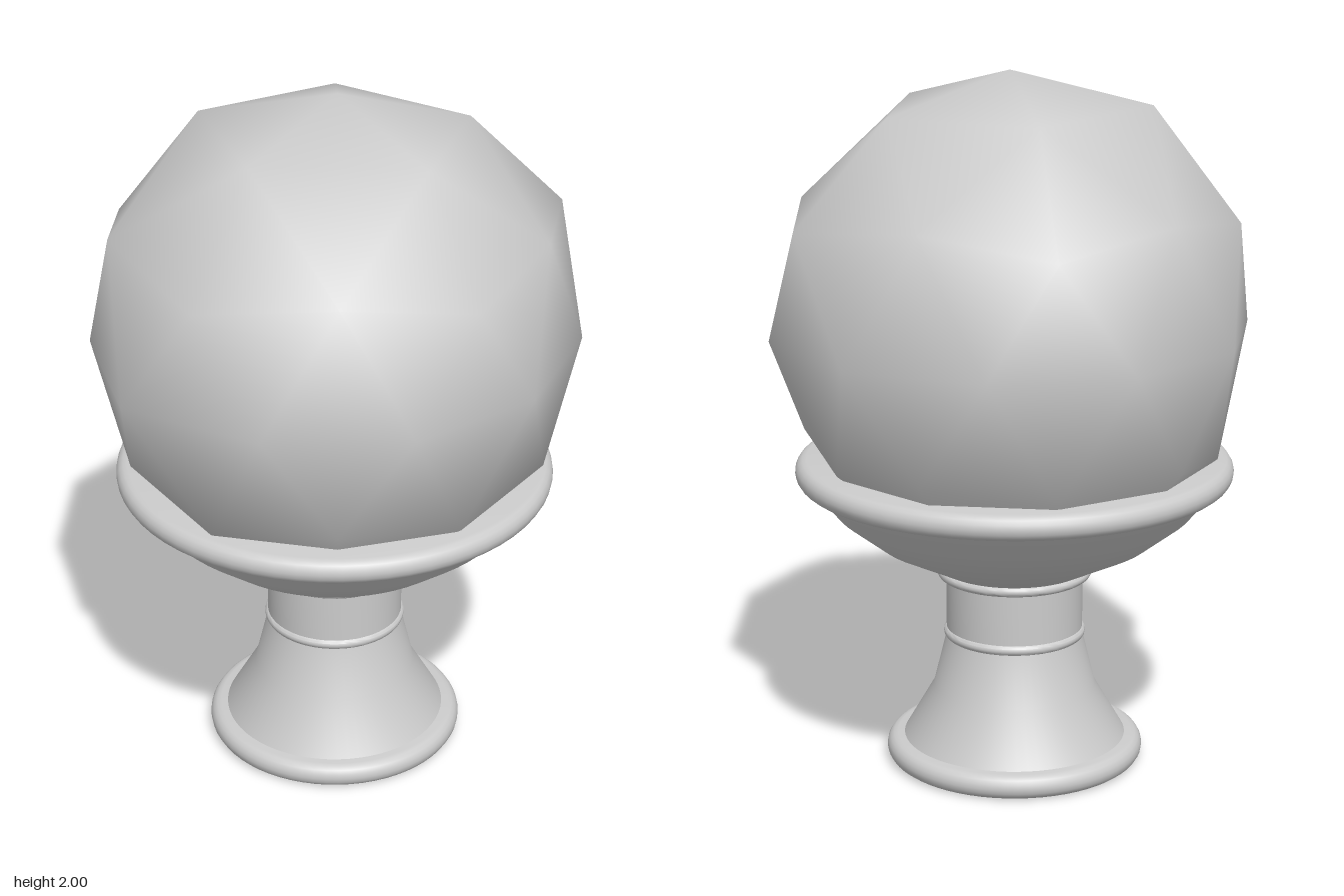
import * as THREE from 'three';
import { toCreasedNormals } from 'three/addons/utils/BufferGeometryUtils.js';

const material = new THREE.MeshStandardMaterial({ color: 0xcccccc });
const SIDES = 64;

// Turned part from [radius, height] points listed from bottom to top
function turned(name, profile, crease = 0.6) {
  const points = profile.map(([r, y]) => new THREE.Vector2(r, y));
  const mesh = new THREE.Mesh(toCreasedNormals(new THREE.LatheGeometry(points, SIDES), crease), material);
  mesh.name = name;
  return mesh;
}

// Solid disc with a half-round edge between heights y0 and y1
function roundedDisc(name, radius, y0, y1) {
  const h = (y1 - y0) / 2;
  const bulge = h * 0.9;
  const profile = [[0, y0]];
  for (let i = 0; i <= 8; i++) {
    const a = -Math.PI / 2 + (i / 8) * Math.PI;
    profile.push([radius - bulge + bulge * Math.cos(a), y0 + h + h * Math.sin(a)]);
  }
  profile.push([0, y1]);
  return turned(name, profile);
}

// Clipped bush: a coarse subdivided icosahedron with uneven radii
function bush() {
  const CENTER = 1.27;
  // Radii round each ring, in steps from the +x side towards +z
  const rings = [
    { lat: 0.851, start: 0, radii: [0.73, 0.745, 0.76, 0.75, 0.73] },
    { lat: 0.526, start: 36, radii: [0.7, 0.68, 0.75, 0.69, 0.7] },
    { lat: 0.447, start: 0, radii: [0.75, 0.69, 0.72, 0.71, 0.67] },
    { lat: 0, start: 18, radii: [0.693, 0.652, 0.65, 0.655, 0.705, 0.683, 0.655, 0.65, 0.652, 0.674] },
    { lat: -0.447, start: 36, radii: [0.68, 0.67, 0.67, 0.68, 0.68] },
    { lat: -0.526, start: 0, radii: [0.66, 0.67, 0.68, 0.68, 0.67] },
  ];
  const geometry = new THREE.IcosahedronGeometry(1, 1);
  geometry.rotateZ(-Math.atan(2 / (1 + Math.sqrt(5)))); // one corner straight up
  const pos = geometry.attributes.position;
  const normal = geometry.attributes.normal;
  const v = new THREE.Vector3();
  for (let i = 0; i < pos.count; i++) {
    v.fromBufferAttribute(pos, i).normalize();
    normal.setXYZ(i, v.x, v.y, v.z);
    const ring = rings.find((r) => Math.abs(r.lat - v.y) < 0.03);
    let radius = v.y > 0 ? 0.73 : 0.68;
    if (ring) {
      const n = ring.radii.length;
      const turn = (THREE.MathUtils.radToDeg(Math.atan2(v.z, v.x)) - ring.start) / (360 / n);
      radius = ring.radii[((Math.round(turn) % n) + n) % n];
    }
    const lean = 0.025 * Math.max(0, v.y); // crown leans slightly forward
    pos.setXYZ(i, v.x * radius, CENTER + v.y * radius, v.z * radius + lean);
  }
  const mesh = new THREE.Mesh(geometry, material);
  mesh.name = 'bush';
  return mesh;
}

export function createModel() {
  const model = new THREE.Group();
  model.name = 'topiaryUrn';
  model.add(
    // Pedestal
    roundedDisc('base', 0.373, 0, 0.07),
    turned('flaredFoot', [[0.325, 0.065], [0.235, 0.22], [0.197, 0.375]]),
    roundedDisc('neckBand', 0.205, 0.368, 0.4),
    turned('neck', [[0.197, 0.38], [0.197, 0.56]]),
    roundedDisc('neckCollar', 0.223, 0.55, 0.58),
    // Dish, rim and planting surface
    turned('bowl', [[0, 0.575], [0.215, 0.578], [0.4, 0.67], [0.51, 0.755], [0.59, 0.85]]),
    roundedDisc('rim', 0.625, 0.838, 0.91),
    bush(),
  );
  return model;
}
